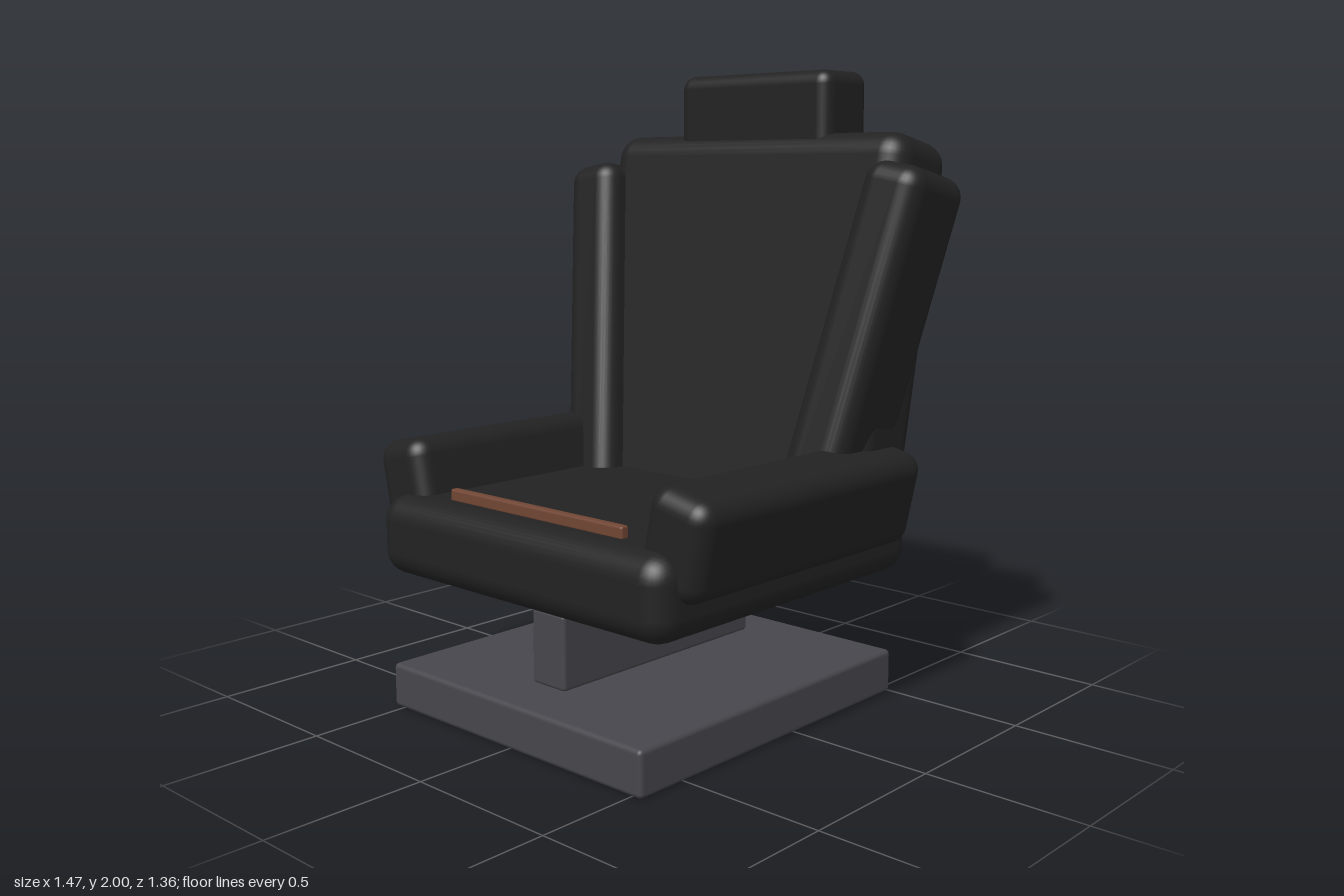
import * as THREE from 'three';
import { RoundedBoxGeometry } from 'three/addons/geometries/RoundedBoxGeometry.js';

const mat = (name, color) => {
  const m = new THREE.MeshStandardMaterial({ color });
  m.name = name;
  return m;
};

export function createModel() {
  const model = new THREE.Group();
  model.name = 'seat';
  const leather = mat('black leather', 0x222222);
  const metal = mat('grey metal', 0x46464c);
  const trim = mat('brown trim', 0x704533);

  // Rounded block given by size, centre, edge radius and tilt
  const block = (name, material, size, pos, radius, segments = 4, tilt = [0, 0]) => {
    const mesh = new THREE.Mesh(new RoundedBoxGeometry(...size, segments, radius), material);
    mesh.name = name;
    mesh.position.set(...pos);
    mesh.rotation.set(tilt[0], 0, tilt[1]);
    model.add(mesh);
    return mesh;
  };

  // Floor plate and pedestal
  block('basePlate', metal, [1.08, 0.14, 1.18], [0, 0.07, 0.09], 0.015, 2);
  block('pedestal', metal, [0.14, 0.235, 0.85], [0, 0.2625, 0.09], 0.012, 2);

  // Cushion with a trim strip near its front edge
  block('seatCushion', leather, [1.22, 0.255, 1.18], [0, 0.5475, 0.09], 0.08);
  block('trimStrip', trim, [0.74, 0.04, 0.03], [0, 0.69, 0.56], 0.008, 2);

  // Reclined backrest and upright headrest
  const recline = -0.2;
  block('backrest', leather, [1.22, 1.25, 0.3], [0, 1.172, -0.423], 0.08, 4, [recline, 0]);
  block('headrest', leather, [0.63, 0.34, 0.23], [0, 1.83, -0.527], 0.045);

  // Side bolsters, splayed outwards
  for (const [side, s] of [['left', 1], ['right', -1]]) {
    block(side + 'SeatBolster', leather, [0.22, 0.3, 1.04], [s * 0.572, 0.69, 0.09], 0.06, 4, [0, -s * 0.21]);
    block(side + 'BackBolster', leather, [0.21, 1.15, 0.305], [s * 0.543, 1.13, -0.33], 0.065, 4, [recline, -s * 0.172]);
  }
  return model;
}
